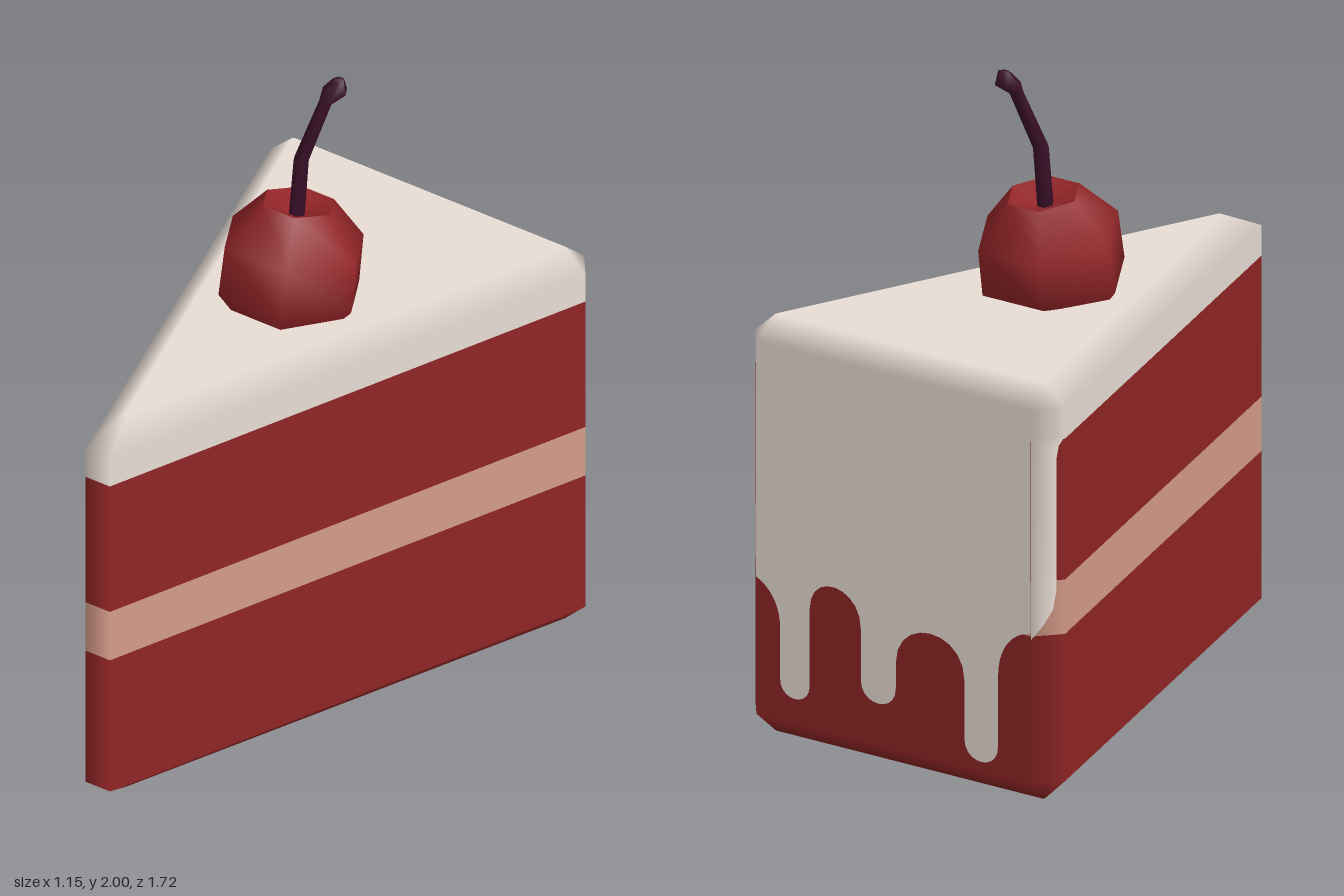
import * as THREE from 'three';

const material = (name, color) => {
  const m = new THREE.MeshStandardMaterial({ color });
  m.name = name;
  return m;
};
const frosting = material('frosting', 0xece1d9);
const sponge = material('sponge', 0x8f2525);
const cream = material('cream', 0xd49c89);
const cherryRed = material('cherry red', 0x922427);
const stemBrown = material('stem', 0x3a1028);

// Slice outline, counter-clockwise from above: [x, z]
const OUTER = [[0.045, 0.86], [0.575, -0.78], [0.51, -0.86], [-0.51, -0.86], [-0.575, -0.78], [-0.045, 0.86]];
const INNER = [[0.005, 0.72], [0.5, -0.78], [0.495, -0.785], [-0.495, -0.785], [-0.5, -0.78], [-0.005, 0.72]];
const SIDE = [0.952, 0, 0.307], BACK = [0, 0, -1], MIRROR = [-0.952, 0, 0.307];
const WALL_NORMALS = [SIDE, SIDE, BACK, BACK, MIRROR, MIRROR];

const outerRing = y => ({ points: OUTER.map(([x, z]) => [x, y, z]), normals: WALL_NORMALS });
const capRing = (y, up) => ({ points: INNER.map(([x, z]) => [x, y, z]), normals: INNER.map(() => [0, up, 0]) });

// Joins equal-sized rings from bottom to top, with optional end caps
function loft(rings, capBottom, capTop) {
  const n = rings[0].points.length, index = [];
  for (let r = 0; r + 1 < rings.length; r++) {
    for (let i = 0; i < n; i++) {
      const j = (i + 1) % n, a = r * n + i, b = r * n + j;
      index.push(a, b, b + n, a, b + n, a + n);
    }
  }
  const last = (rings.length - 1) * n;
  for (let i = 1; i + 1 < n; i++) {
    if (capBottom) index.push(0, i + 1, i);
    if (capTop) index.push(last, last + i, last + i + 1);
  }
  const g = new THREE.BufferGeometry();
  g.setAttribute('position', new THREE.Float32BufferAttribute(rings.flatMap(r => r.points.flat()), 3));
  g.setIndex(index);
  if (rings[0].normals) {
    g.setAttribute('normal', new THREE.Float32BufferAttribute(rings.flatMap(r => r.normals.flat()), 3));
  } else g.computeVertexNormals();
  return g;
}

// Sheet of frosting on the back, ending in three drips
function dripSheet() {
  const s = new THREE.Shape();
  const curve = (x0, y0, x1, y1, h) => s.bezierCurveTo(x0, y0 + h, x1, y1 + h, x1, y1);
  s.moveTo(-0.51, 1.15);
  s.lineTo(-0.51, 0.5);
  s.bezierCurveTo(-0.46, 0.48, -0.42, 0.43, -0.42, 0.36);
  s.lineTo(-0.42, 0.2);
  curve(-0.42, 0.2, -0.31, 0.2, -0.07);
  s.lineTo(-0.31, 0.44);
  curve(-0.31, 0.44, -0.12, 0.42, 0.13);
  s.lineTo(-0.12, 0.26);
  curve(-0.12, 0.26, 0.01, 0.26, -0.08);
  s.lineTo(0.01, 0.34);
  curve(0.01, 0.34, 0.265, 0.34, 0.16);
  s.lineTo(0.265, 0.16);
  curve(0.265, 0.16, 0.39, 0.16, -0.08);
  s.lineTo(0.39, 0.38);
  s.bezierCurveTo(0.39, 0.48, 0.45, 0.53, 0.51, 0.54);
  s.lineTo(0.51, 1.15);
  return new THREE.ShapeGeometry(s, 10).rotateY(Math.PI).translate(0, 0, -0.863);
}

// Frosting that wraps round one bevelled back corner; side is +1 or -1
function cornerFrosting(side) {
  const outline = [[0, 1.15], [0, 0.52], [0.35, 0.56], [0.65, 0.61], [0.75, 0.67], [0.75, 1.08], [0.82, 1.12], [1, 1.15]];
  const pos = [], nor = [], index = [];
  for (const [t, y] of outline) {
    pos.push(side * (0.512 + 0.065 * t), y, -0.863 + 0.08 * t);
    const v = new THREE.Vector3(side * 0.952 * t, 0, 0.307 * t - (1 - t)).normalize();
    nor.push(v.x, v.y, v.z);
  }
  const tris = THREE.ShapeUtils.triangulateShape(outline.map(p => new THREE.Vector2(...p)), []);
  for (const [a, b, c] of tris) {
    const [p, q, r] = [a, b, c].map(i => outline[i]);
    const ccw = (q[0] - p[0]) * (r[1] - p[1]) - (q[1] - p[1]) * (r[0] - p[0]) > 0;
    // Seen from behind, +t runs left on the +x corner and right on the -x corner
    if (ccw === (side < 0)) index.push(a, b, c);
    else index.push(a, c, b);
  }
  const g = new THREE.BufferGeometry();
  g.setAttribute('position', new THREE.Float32BufferAttribute(pos, 3));
  g.setAttribute('normal', new THREE.Float32BufferAttribute(nor, 3));
  g.setIndex(index);
  return g;
}

export function createModel() {
  const model = new THREE.Group();
  model.name = 'cakeSlice';
  const add = (name, geometry, mat, parent = model) => {
    const mesh = new THREE.Mesh(geometry, mat);
    mesh.name = name;
    parent.add(mesh);
    return mesh;
  };

  // Cake layers
  add('lowerSponge', loft([capRing(0, -1), outerRing(0.07), outerRing(0.53)], true, false), sponge);
  add('creamFilling', loft([outerRing(0.53), outerRing(0.7)]), cream);
  add('upperSponge', loft([outerRing(0.7), outerRing(1.14)]), sponge);
  add('topFrosting', loft([outerRing(1.14), outerRing(1.235), capRing(1.3, 1)], false, true), frosting);

  // Frosting down the back
  add('backFrosting', dripSheet(), frosting);
  add('leftCornerFrosting', cornerFrosting(1), frosting);
  add('rightCornerFrosting', cornerFrosting(-1), frosting);

  // Six-sided cherry, leaning back
  const cherry = new THREE.Group();
  cherry.name = 'cherry';
  cherry.position.set(0, 1.4, -0.1);
  cherry.rotation.x = -0.175;
  model.add(cherry);
  const lathe = profile =>
    new THREE.LatheGeometry(profile.map(p => new THREE.Vector2(...p)), 6, Math.PI / 6);
  add('cherryBody', lathe([[0.12, -0.2], [0.228, -0.075], [0.225, 0.08], [0.115, 0.205]]), cherryRed, cherry);
  add('cherryDimple', lathe([[0.115, 0.205], [0, 0.16]]), cherryRed, cherry);

  // Bent stem with a knob: x, y, z, radius
  const stem = [
    [0, 1.55, -0.125, 0.026], [0.003, 1.75, -0.145, 0.025], [0.042, 1.93, -0.212, 0.022],
    [0.057, 1.962, -0.235, 0.041], [0.065, 2.0, -0.245, 0.018],
  ].map(([x, y, z, r]) => ({
    points: Array.from({ length: 6 }, (_, i) => {
      const a = i * Math.PI / 3;
      return [x + r * Math.cos(a), y, z - r * Math.sin(a)];
    }),
  }));
  add('stem', loft(stem, true, true), stemBrown);

  return model;
}
